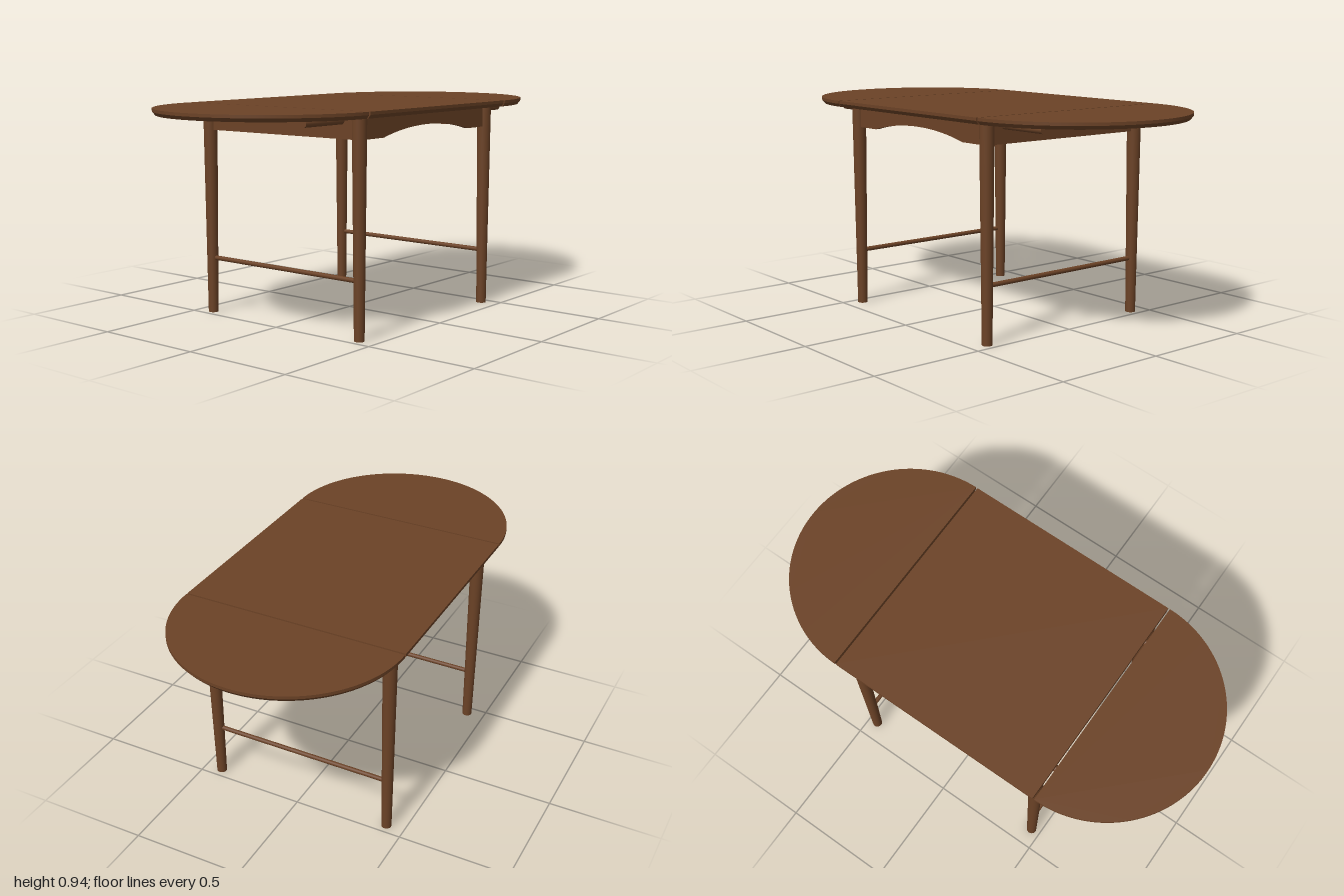
import * as THREE from 'three';
import { toCreasedNormals } from 'three/addons/utils/BufferGeometryUtils.js';

export function createModel() {
  const group = new THREE.Group();
  const wood = new THREE.MeshStandardMaterial({ color: 0x6b4226 });
  wood.name = 'walnut wood';

  const topY = 0.938, underY = 0.91, edgeY = 0.925;
  const legX = 0.457, legZ = 0.418;

  function add(name, geometry, x = 0, y = 0, z = 0) {
    const mesh = new THREE.Mesh(geometry, wood);
    mesh.name = name;
    mesh.position.set(x, y, z);
    group.add(mesh);
    return mesh;
  }

  // Flat board whose lower edge is chamfered inward
  function board(shape, scaleX) {
    const geo = new THREE.ExtrudeGeometry(shape, {
      depth: topY - underY, steps: 2, bevelEnabled: false, curveSegments: 64,
    });
    geo.rotateX(-Math.PI / 2);
    const p = geo.attributes.position;
    const middle = (topY - underY) / 2;
    for (let i = 0; i < p.count; i++) {
      const y = p.getY(i);
      if (y < 0.001) {
        p.setX(i, p.getX(i) * scaleX);
        p.setZ(i, p.getZ(i) * 0.976);
      } else if (Math.abs(y - middle) < 0.001) {
        p.setY(i, edgeY - underY);
      }
    }
    return toCreasedNormals(geo, 0.4);
  }

  // Centre panel
  const panel = new THREE.Shape();
  panel.moveTo(-0.492, -0.5).lineTo(0.492, -0.5).lineTo(0.492, 0.5).lineTo(-0.492, 0.5).closePath();
  add('centreTop', board(panel, 1), 0, underY, 0);

  // Aprons along front and back, with an arched lower edge
  const arch = new THREE.Shape();
  arch.moveTo(-legX, 0.82).lineTo(-0.31, 0.82);
  arch.bezierCurveTo(-0.12, 0.87, 0.12, 0.87, 0.31, 0.82);
  arch.lineTo(legX, 0.82).lineTo(legX, underY).lineTo(-legX, underY).closePath();
  const archGeo = toCreasedNormals(new THREE.ExtrudeGeometry(arch, {
    depth: 0.02, bevelEnabled: false, curveSegments: 32,
  }).translate(0, 0, -0.01), 0.3);
  add('frontApron', archGeo, 0, 0, legZ);
  add('backApron', archGeo, 0, 0, -legZ);

  const legGeo = new THREE.CylinderGeometry(0.031, 0.022, underY, 32);
  const rodGeo = new THREE.CylinderGeometry(0.0155, 0.0155, 0.253, 24).rotateZ(Math.PI / 2);
  const stretcherGeo = new THREE.CylinderGeometry(0.01, 0.01, legZ * 2, 20).rotateX(Math.PI / 2);
  const sideApronGeo = new THREE.BoxGeometry(0.02, underY - 0.82, legZ * 2);

  for (const side of [1, -1]) {
    const label = side > 0 ? 'left' : 'right';

    // Half-round end leaf
    const leaf = new THREE.Shape();
    const start = side > 0 ? -Math.PI / 2 : Math.PI / 2;
    leaf.absarc(0, 0, 0.5, start, start + Math.PI, false);
    leaf.closePath();
    add(label + 'Leaf', board(leaf, 0.976), side * 0.5, underY, 0);

    // Side apron and stretcher between the legs
    add(label + 'Apron', sideApronGeo, side * legX, (underY + 0.82) / 2, 0);
    add(label + 'Stretcher', stretcherGeo, side * legX, 0.248, 0);

    for (const end of [1, -1]) {
      const place = label + (end > 0 ? 'Front' : 'Back');
      add(place + 'Leg', legGeo, side * legX, underY / 2, end * legZ);
      // Rod carrying the leaf
      add(place + 'LeafSupport', rodGeo, side * 0.5735, 0.8945, end * 0.334);
    }
  }
  return group;
}
